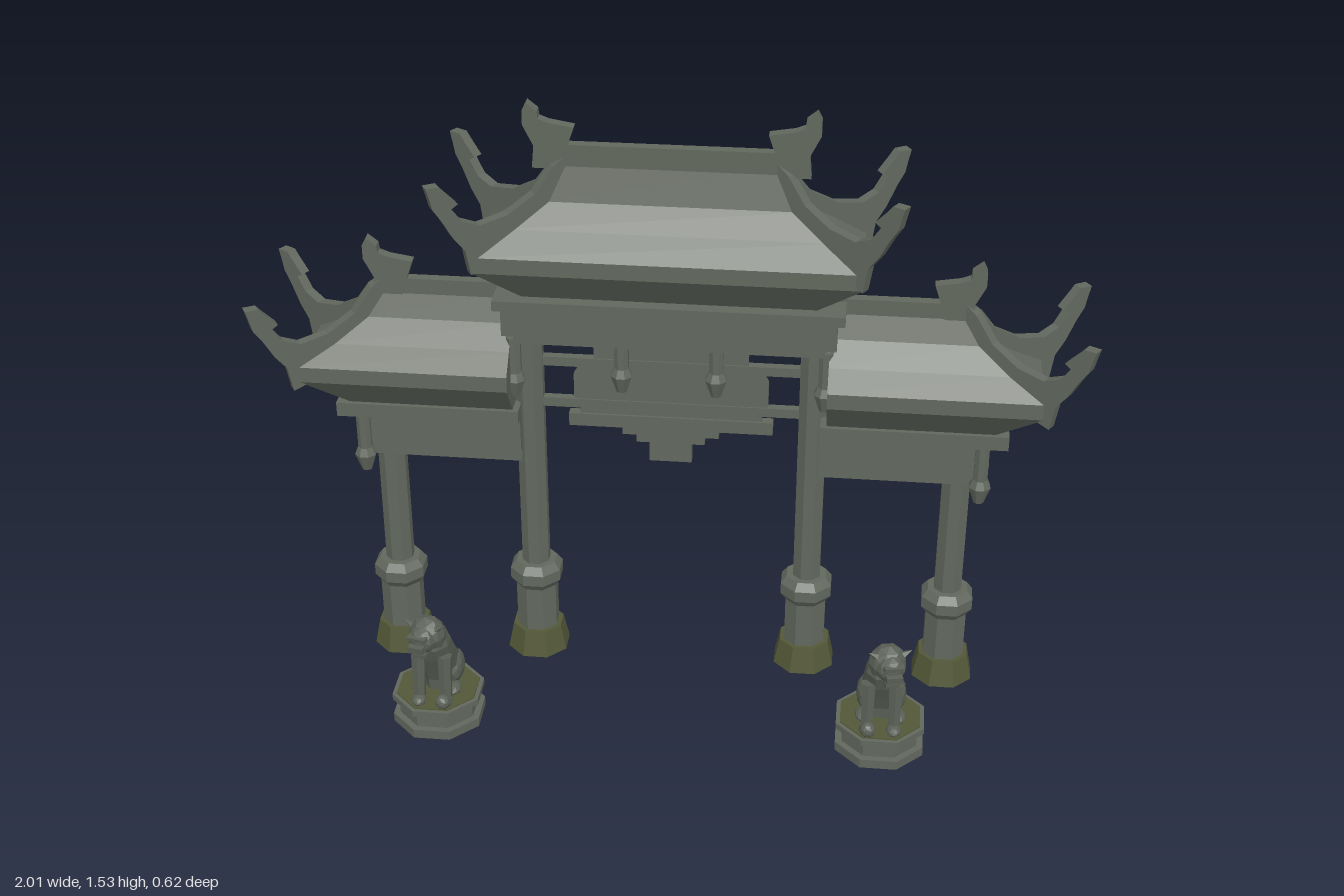
import * as THREE from 'three';

const mat = (name, color) => {
  const m = new THREE.MeshStandardMaterial({ color, flatShading: true });
  m.name = name;
  return m;
};
const CZ = -0.127; // depth of the gate's centre line

export function createModel() {
  const stone = mat('stone', 0x62685e);
  const lionStone = mat('lionStone', 0x5a6056);
  const moss = mat('mossyStone', 0x545838);

  const model = new THREE.Group();
  model.name = 'ceremonialGate';
  const gate = new THREE.Group();
  gate.name = 'gate';
  gate.position.z = CZ;
  model.add(gate);

  const add = (parent, name, geo, material, x = 0, y = 0, z = 0) => {
    const m = new THREE.Mesh(geo, material);
    m.name = name;
    m.position.set(x, y, z);
    parent.add(m);
    return m;
  };
  // box given by its x and y limits and half depth
  const beam = (name, x0, x1, y0, y1, hz) =>
    add(gate, name, new THREE.BoxGeometry(x1 - x0, y1 - y0, hz * 2), stone, (x0 + x1) / 2, (y0 + y1) / 2, 0);
  // octagonal section with flats to the front, sized by half widths
  const oct = (parent, name, top, bottom, y0, y1, material, x, z = 0) => {
    const k = 1 / Math.cos(Math.PI / 8);
    const g = new THREE.CylinderGeometry(top * k, bottom * k, y1 - y0, 8).rotateY(Math.PI / 8);
    return add(parent, name, g, material, x, (y0 + y1) / 2, z);
  };
  // closed solid through rings of points, listed from top to bottom
  const loft = (rings) => {
    const pos = [], n = rings[0].length;
    const tri = (...p) => p.forEach((v) => pos.push(...v));
    for (let i = 0; i < rings.length - 1; i++) {
      for (let j = 0; j < n; j++) {
        const k = (j + 1) % n, a = rings[i], b = rings[i + 1];
        tri(b[j], b[k], a[k], b[j], a[k], a[j]);
      }
    }
    const first = rings[0], last = rings[rings.length - 1];
    for (let j = 1; j < n - 1; j++) {
      tri(first[0], first[j], first[j + 1]);
      tri(last[0], last[j + 1], last[j]);
    }
    const g = new THREE.BufferGeometry();
    g.setAttribute('position', new THREE.Float32BufferAttribute(pos, 3));
    g.computeVertexNormals();
    return g;
  };
  // flat outline with a thickness centred on z
  const plate = (pts, depth) =>
    new THREE.ExtrudeGeometry(new THREE.Shape(pts.map((p) => new THREE.Vector2(...p))), { depth, bevelEnabled: false })
      .translate(0, 0, -depth / 2);

  // ---- Roofs: concave slopes, fascia and tapering underside ----
  const ends = [0.255, 0.305, 0.385, 0.457, 0.457, 0.35];
  const halfDepth = [0.008, 0.035, 0.08, 0.128, 0.128, 0.062];
  const roof = (name, ys, xAt) => add(gate, name, loft(ys.map((y, i) => {
    const [x0, x1] = xAt(ends[i]), z = halfDepth[i];
    return [[x0, y, z], [x1, y, z], [x1, y, -z], [x0, y, -z]];
  })), stone);
  roof('mainRoof', [1.4, 1.3, 1.245, 1.19, 1.15, 1.062], (e) => [-e, e]);
  for (const s of [-1, 1]) {
    roof('sideRoof', [1.045, 0.975, 0.92, 0.875, 0.835, 0.75],
      (e) => (s > 0 ? [0.385, e + 0.44] : [-e - 0.44, -0.385]));
  }
  beam('mainRidge', -0.26, 0.26, 1.37, 1.435, 0.013);

  // ---- Upswept hip rafters ending in barbed horns ----
  const slope = 0.593, stretch = Math.hypot(1, slope);
  const hornPts = [[0, 1.41], [0.03, 1.385], [0.07, 1.325], [0.13, 1.285], [0.19, 1.272], [0.225, 1.29],
    [0.246, 1.325], [0.232, 1.335], [0.258, 1.368], [0.27, 1.385], [0.297, 1.385], [0.29, 1.355], [0.285, 1.33],
    [0.268, 1.3], [0.245, 1.25], [0.222, 1.215], [0.212, 1.15], [0.185, 1.16], [0.13, 1.22], [0.05, 1.27], [0, 1.36]];
  const hornGeo = plate(hornPts.map(([x, y]) => [x * stretch, y]), 0.026);
  const finialPts = [[0.225, 1.478], [0.238, 1.44], [0.25, 1.4], [0.255, 1.375], [0.325, 1.375], [0.32, 1.43],
    [0.345, 1.48], [0.345, 1.515], [0.335, 1.535], [0.31, 1.515], [0.308, 1.497], [0.285, 1.488]];

  for (const s of [-1, 1]) {
    for (const f of [-1, 1]) {
      const angle = -Math.atan2(f * slope, s);
      add(gate, 'mainHorn', hornGeo, stone, s * 0.25, 0, 0).rotation.y = angle;
      add(gate, 'sideHorn', hornGeo, stone, s * 0.703, -0.335, 0).rotation.y = angle;
    }
    // ridge finials and side ridges
    add(gate, 'mainFinial', plate(finialPts.map(([x, y]) => [s * x, y]), 0.028), stone);
    add(gate, 'sideFinial', plate(finialPts.map(([x, y]) => [s * (x + 0.4), y - 0.36]), 0.028), stone);
    const span = (a, b) => (s > 0 ? [a, b] : [-b, -a]);
    beam('sideRidge', ...span(0.385, 0.7), 1.02, 1.072, 0.013);

    // side lintels
    beam('sideCornice', ...span(0.37, 0.825), 0.715, 0.752, 0.075);
    beam('sideFrieze', ...span(0.37, 0.75), 0.63, 0.716, 0.05);
    beam('sideLintel', ...span(0.37, 0.755), 0.59, 0.632, 0.036);

    // columns on octagonal pedestals
    for (const [name, x, y0, top] of [['mainColumn', 0.35, 0.015, 1.0], ['sideColumn', 0.71, 0, 0.62]]) {
      const col = new THREE.Group();
      col.name = name;
      col.position.set(s * x, y0, 0);
      gate.add(col);
      oct(col, 'plinth', 0.062, 0.076, 0, 0.07, moss, 0);
      oct(col, 'pedestal', 0.051, 0.051, 0.07, 0.2, stone, 0);
      oct(col, 'collarFlare', 0.064, 0.051, 0.195, 0.215, stone, 0);
      oct(col, 'collar', 0.064, 0.064, 0.215, 0.245, stone, 0);
      oct(col, 'collarTop', 0.05, 0.064, 0.245, 0.265, stone, 0);
      oct(col, 'shaft', 0.034, 0.034, 0.26, top - y0, stone, 0);
    }

    // hanging lotus posts, front and back
    for (const f of [-1, 1]) {
      for (const [x, top, len] of [[0.115, 0.95, 0.135], [0.378, 0.95, 0.16], [0.765, 0.72, 0.165]]) {
        const z = f * 0.053, b = top - len;
        oct(gate, 'hangingPost', 0.017, 0.017, b + 0.06, top, stone, s * x, z);
        oct(gate, 'hangingBud', 0.018, 0.026, b + 0.045, b + 0.065, stone, s * x, z);
        oct(gate, 'hangingTip', 0.026, 0.012, b, b + 0.045, stone, s * x, z);
      }
    }
  }

  // ---- Main entablature ----
  beam('mainCornice', -0.42, 0.42, 1.038, 1.064, 0.097);
  beam('mainFrieze', -0.402, 0.402, 0.965, 1.04, 0.083);
  beam('mainLintel', -0.375, 0.375, 0.94, 0.967, 0.07);

  // ---- Central carved panel with rails and stepped pendant ----
  const half = [[0.19, 0.95], [0.19, 0.87], [0.225, 0.855], [0.24, 0.83], [0.24, 0.765], [0.225, 0.75], [0.225, 0.72]];
  const mirror = (pts) => [...pts, ...pts.map(([x, y]) => [-x, y]).reverse()];
  add(gate, 'centrePanel', plate(mirror(half), 0.014), stone);
  add(gate, 'steppedPendant', plate(mirror([[0.253, 0.722], [0.253, 0.688], [0.12, 0.688], [0.12, 0.67],
    [0.085, 0.67], [0.085, 0.65], [0.053, 0.65], [0.053, 0.598]]), 0.026), stone);
  beam('upperRail', -0.33, 0.33, 0.852, 0.876, 0.011);
  beam('lowerRail', -0.33, 0.33, 0.738, 0.762, 0.011);

  // ---- Guardian lions ----
  const blob = (parent, name, x, y, z, rx, ry, rz, detail = 1) =>
    add(parent, name, new THREE.IcosahedronGeometry(1, detail).scale(rx, ry, rz), lionStone, x, y, z);
  const lion = (s) => {
    const g = new THREE.Group();
    g.name = 'guardianLion';
    g.position.set(s * 0.553, 0, 0.2);
    model.add(g);
    oct(g, 'lionBase', 0.108, 0.108, 0.01, 0.034, stone, 0);
    oct(g, 'lionDrum', 0.092, 0.092, 0.034, 0.076, stone, 0);
    oct(g, 'lionTop', 0.108, 0.108, 0.076, 0.092, stone, 0);
    oct(g, 'mossBed', 0.098, 0.098, 0.092, 0.095, moss, 0);

    // seated body from elliptical rings: y, z centre, half width, half depth
    const rings = [[0.29, 0.03, 0.032, 0.035], [0.25, 0.025, 0.044, 0.05], [0.21, 0.005, 0.048, 0.056],
      [0.165, -0.025, 0.052, 0.066], [0.125, -0.038, 0.05, 0.062], [0.092, -0.035, 0.044, 0.056]];
    add(g, 'lionBody', loft(rings.map(([y, z, rx, rz]) => Array.from({ length: 8 }, (_, i) => {
      const a = (i + 0.5) * Math.PI / 4;
      return [Math.sin(a) * rx, y, z + Math.cos(a) * rz];
    }))), lionStone);
    for (const k of [-1, 1]) {
      blob(g, 'haunch', k * 0.04, 0.135, -0.035, 0.022, 0.042, 0.045);
      blob(g, 'hindPaw', k * 0.045, 0.103, 0.015, 0.018, 0.013, 0.028);
      const leg = add(g, 'frontLeg', new THREE.CylinderGeometry(0.019, 0.015, 0.13, 6), lionStone, k * 0.033, 0.16, 0.058);
      leg.rotation.x = -0.12;
      blob(g, 'frontPaw', k * 0.033, 0.106, 0.076, 0.019, 0.014, 0.024);
    }
    blob(g, 'ball', -s * 0.03, 0.114, 0.09, 0.02, 0.02, 0.02);
    const tail = add(g, 'tail', new THREE.ConeGeometry(0.022, 0.09, 6), lionStone, 0, 0.16, -0.082);
    tail.rotation.x = 0.3;

    // head turned slightly outward
    const head = new THREE.Group();
    head.name = 'lionHead';
    head.position.set(s * 0.012, 0.28, 0.05);
    head.rotation.set(0.1, s * 0.3, -s * 0.1);
    g.add(head);
    blob(head, 'mane', 0, 0, -0.012, 0.047, 0.05, 0.042);
    blob(head, 'face', 0, 0.002, 0.015, 0.036, 0.036, 0.03);
    add(head, 'muzzle', new THREE.BoxGeometry(0.04, 0.018, 0.03), lionStone, 0, -0.004, 0.04);
    add(head, 'jaw', new THREE.BoxGeometry(0.034, 0.01, 0.024), lionStone, 0, -0.027, 0.035);
    add(head, 'brow', new THREE.BoxGeometry(0.05, 0.01, 0.016), lionStone, 0, 0.02, 0.036);
    for (const k of [-1, 1]) {
      const ear = add(head, 'ear', new THREE.ConeGeometry(0.014, 0.035, 5), lionStone, k * 0.04, 0.03, -0.005);
      ear.rotation.z = -k * 1.0;
    }
  };
  lion(1);
  lion(-1);
  return model;
}
